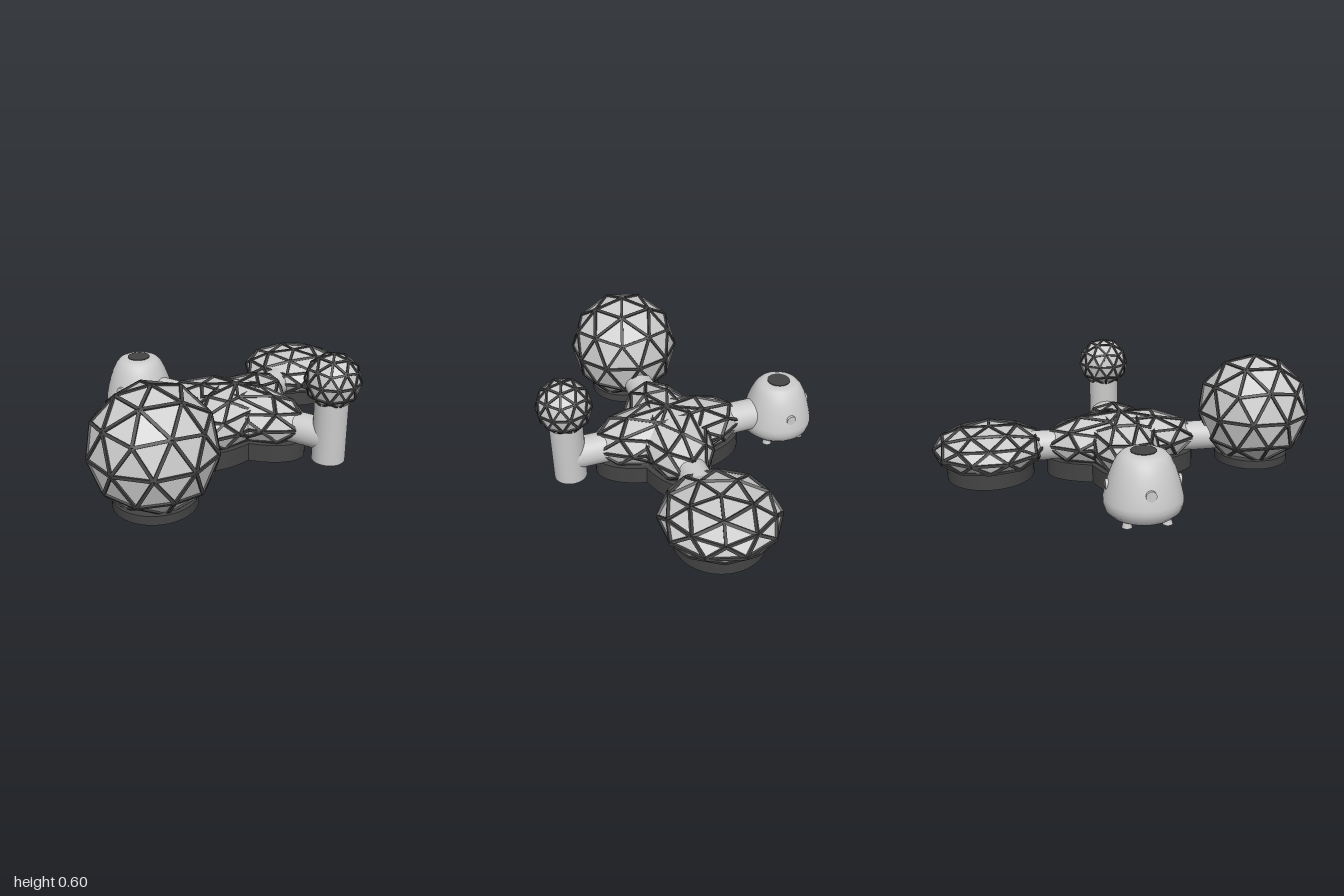
import * as THREE from 'three';
import { mergeGeometries } from 'three/addons/utils/BufferGeometryUtils.js';

const grey = new THREE.MeshStandardMaterial({ color: 0xcccccc });
const facet = new THREE.MeshStandardMaterial({ color: 0xcccccc, flatShading: true });
const dark = new THREE.MeshStandardMaterial({ color: 0x444444 });

function add(parent, name, geometry, material, x = 0, y = 0, z = 0) {
  const mesh = new THREE.Mesh(geometry, material);
  mesh.name = name;
  mesh.position.set(x, y, z);
  parent.add(mesh);
  return mesh;
}

// Square bars laid along every unique edge of a triangle soup centred on the origin
function strutGeometry(panels, t) {
  const pos = panels.attributes.position;
  const point = (i) => new THREE.Vector3().fromBufferAttribute(pos, i);
  const key = (v) => v.toArray().map((n) => Math.round(n * 1e4)).join();
  const seen = new Set();
  const bars = [];
  for (let i = 0; i < pos.count; i += 3) {
    for (let k = 0; k < 3; k++) {
      const a = point(i + k), b = point(i + ((k + 1) % 3));
      const id = [key(a), key(b)].sort().join('|');
      if (seen.has(id)) continue;
      seen.add(id);
      const along = b.clone().sub(a);
      const length = along.length();
      along.normalize();
      const mid = a.add(b).multiplyScalar(0.5);
      const side = new THREE.Vector3().crossVectors(along, mid).normalize();
      const out = new THREE.Vector3().crossVectors(side, along);
      const bar = new THREE.BoxGeometry(t, length, t);
      bar.applyMatrix4(new THREE.Matrix4().makeBasis(side, along, out).setPosition(mid));
      bars.push(bar);
    }
  }
  return mergeGeometries(bars);
}

// Geodesic dome with a vertex at the pole, stretched to the given radii
function dome(parent, name, [x, y, z], [rx, ry, rz], t, turn = 0) {
  const group = new THREE.Group();
  group.name = name;
  group.position.set(x, y, z);
  const panels = new THREE.IcosahedronGeometry(1, 1);
  panels.rotateX(-Math.atan((1 + Math.sqrt(5)) / 2));
  panels.rotateY(Math.PI / 2 + turn);
  panels.scale(rx, ry, rz);
  add(group, name + 'Panels', panels, facet);
  add(group, name + 'Struts', strutGeometry(panels, t), dark);
  parent.add(group);
}

// Round or oval foundation slab between two heights
function base(parent, name, x, z, rx, rz, y0, y1) {
  const g = new THREE.CylinderGeometry(1, 1, y1 - y0, 48).scale(rx, 1, rz);
  add(parent, name, g, dark, x, (y0 + y1) / 2, z);
}

// Straight horizontal tunnel between two points
function tunnel(parent, name, a, b, r) {
  const from = new THREE.Vector3(...a), to = new THREE.Vector3(...b);
  const mesh = add(parent, name, new THREE.CylinderGeometry(r, r, from.distanceTo(to), 32), grey);
  mesh.position.copy(from).add(to).multiplyScalar(0.5);
  mesh.quaternion.setFromUnitVectors(new THREE.Vector3(0, 1, 0), to.sub(from).normalize());
}

function createPod() {
  const pod = new THREE.Group();
  pod.name = 'landingPod';
  // Rounded bell-shaped shell
  const profile = [
    [0, 0.045], [0.12, 0.045], [0.155, 0.056], [0.177, 0.078], [0.186, 0.11], [0.185, 0.135],
    [0.175, 0.18], [0.161, 0.23], [0.145, 0.275], [0.125, 0.315], [0.105, 0.338],
    [0.08, 0.348], [0, 0.35],
  ].map(([r, y]) => new THREE.Vector2(r, y));
  add(pod, 'podShell', new THREE.LatheGeometry(profile, 40), grey);
  // Dark hatch above and heat shield below
  add(pod, 'podHatch', new THREE.CylinderGeometry(0.06, 0.06, 0.004, 20), dark, 0, 0.35, 0);
  add(pod, 'podHeatShield', new THREE.CylinderGeometry(0.115, 0.115, 0.004, 20), dark, 0, 0.044, 0);
  // Splayed feet
  for (const sx of [-1, 1]) {
    for (const sz of [-1, 1]) {
      add(pod, 'podFoot', new THREE.CylinderGeometry(0.014, 0.024, 0.04, 16), grey,
        sx * 0.093, 0.046, sz * 0.093);
    }
  }
  // Portholes on the three free sides
  for (const angle of [0, Math.PI, -Math.PI / 2]) {
    const window = add(pod, 'porthole', new THREE.CylinderGeometry(0.025, 0.025, 0.03, 20), grey,
      Math.sin(angle) * 0.161, 0.2, Math.cos(angle) * 0.161);
    window.rotation.set(Math.PI / 2, 0, -angle);
    window.rotation.order = 'YXZ';
    window.rotation.set(Math.PI / 2, angle, 0);
  }
  pod.position.set(-0.552, 0, -0.036);
  return pod;
}

export function createModel() {
  const model = new THREE.Group();
  model.name = 'domeBase';
  const cx = 0.075, cz = -0.03;

  // Cross-shaped hub: two long domes at right angles
  dome(model, 'hubAcross', [cx, 0.183, cz], [0.408, 0.147, 0.195], 0.014);
  dome(model, 'hubAlong', [cx, 0.183, cz], [0.195, 0.147, 0.408], 0.014, Math.PI / 2);
  base(model, 'hubBaseAcross', cx, cz, 0.39, 0.195, 0.015, 0.11);
  base(model, 'hubBaseAlong', cx, cz, 0.195, 0.39, 0.015, 0.11);

  // Large front dome
  dome(model, 'frontDome', [0.08, 0.3, 0.7], [0.295, 0.295, 0.295], 0.015);
  base(model, 'frontDomeBase', 0.08, 0.7, 0.197, 0.197, 0.025, 0.07);

  // Low rear dome
  dome(model, 'rearDome', [0.07, 0.182, -0.712], [0.282, 0.11, 0.282], 0.014);
  base(model, 'rearDomeBase', 0.07, -0.712, 0.222, 0.222, 0.035, 0.125);

  // Lookout tower with a small dome
  add(model, 'tower', new THREE.CylinderGeometry(0.083, 0.083, 0.32, 32), grey, 0.6, 0.205, -0.035);
  dome(model, 'towerDome', [0.6, 0.463, -0.035], [0.134, 0.134, 0.134], 0.011);

  // Connecting tunnels
  tunnel(model, 'frontTunnel', [cx, 0.17, 0.25], [cx, 0.17, 0.52], 0.078);
  tunnel(model, 'rearTunnel', [cx, 0.17, -0.3], [cx, 0.17, -0.55], 0.078);
  tunnel(model, 'towerTunnel', [0.36, 0.17, -0.035], [0.6, 0.17, -0.035], 0.08);
  tunnel(model, 'podTunnel', [-0.2, 0.17, -0.036], [-0.46, 0.17, -0.036], 0.083);

  model.add(createPod());
  return model;
}
